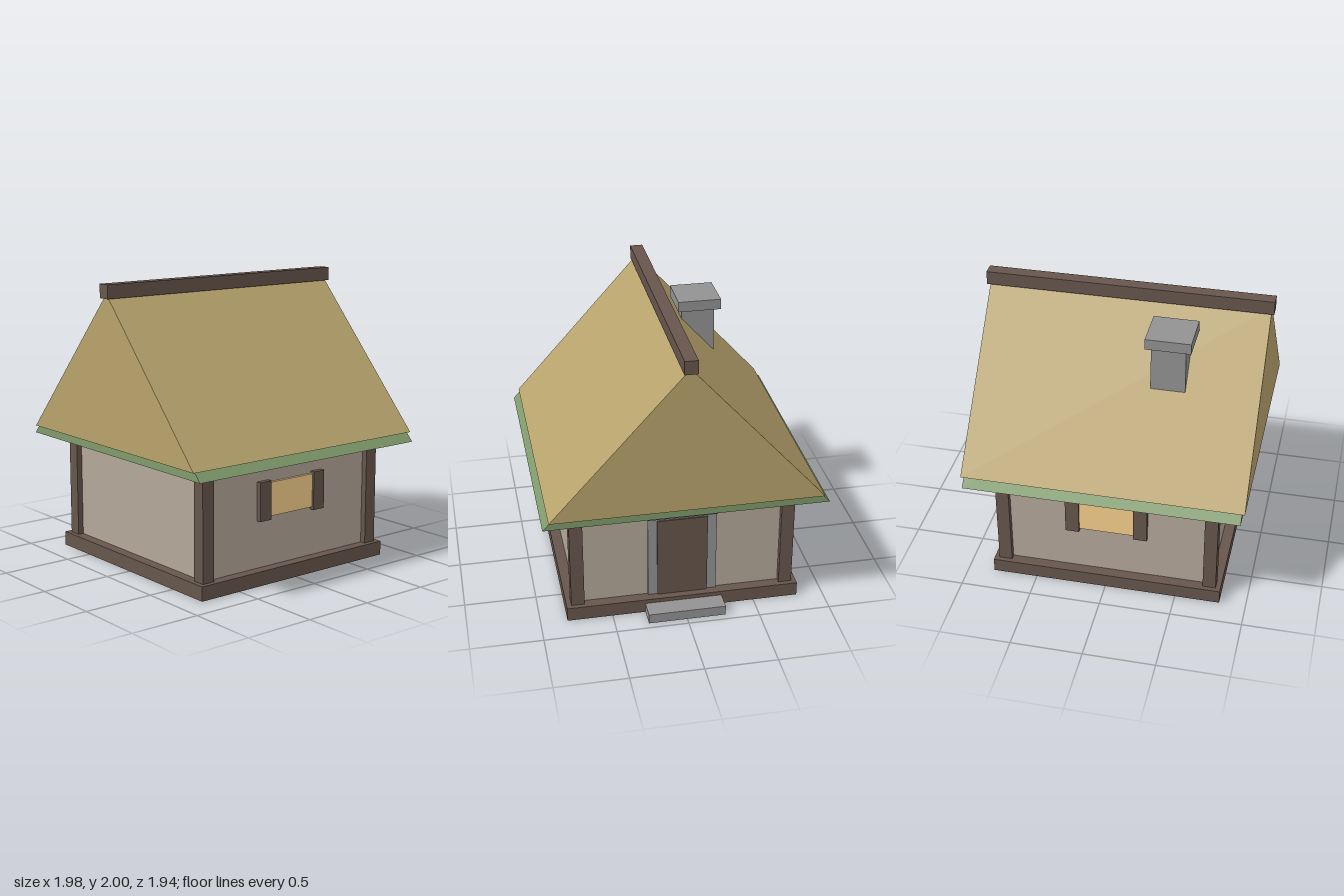
import * as THREE from 'three';

const material = (color) => new THREE.MeshStandardMaterial({ color });

export function createModel() {
  const house = new THREE.Group();
  house.name = 'cottage';

  const wood = material(0x66564c);
  const plaster = material(0xb3a799);
  const thatch = material(0xb8a36c);
  const eave = material(0x7f9a6c);
  const stone = material(0x929292);
  const doorWood = material(0x65544a);
  const glow = material(0xf6cf8c);

  const add = (name, geometry, mat, parent = house) => {
    const mesh = new THREE.Mesh(geometry, mat);
    mesh.name = name;
    parent.add(mesh);
    return mesh;
  };

  // Box given by its lower and upper corners
  const box = (name, [x0, y0, z0], [x1, y1, z1], mat, parent) => {
    const mesh = add(name, new THREE.BoxGeometry(x1 - x0, y1 - y0, z1 - z0), mat, parent);
    mesh.position.set((x0 + x1) / 2, (y0 + y1) / 2, (z0 + z1) / 2);
    return mesh;
  };

  // Triangular prism with its ridge along x
  const prism = (name, halfLength, halfDepth, bottom, top, mat) => {
    const gable = new THREE.Shape();
    gable.moveTo(-halfDepth, bottom);
    gable.lineTo(halfDepth, bottom);
    gable.lineTo(0, top);
    gable.closePath();
    const geometry = new THREE.ExtrudeGeometry(gable, { depth: 2 * halfLength, bevelEnabled: false });
    geometry.translate(0, 0, -halfLength);
    geometry.rotateY(Math.PI / 2);
    return add(name, geometry, mat);
  };

  // Base, walls and corner posts
  box('base', [-0.815, 0, -0.815], [0.815, 0.1, 0.815], wood);
  box('walls', [-0.74, 0.08, -0.74], [0.74, 0.86, 0.74], plaster);
  for (const x of [-0.735, 0.735]) {
    for (const z of [-0.735, 0.735]) {
      box('cornerPost', [x - 0.046, 0.09, z - 0.046], [x + 0.046, 0.85, z + 0.046], wood);
    }
  }

  // Roof with a lower eave layer and ridge beam
  prism('eaveLayer', 0.95, 0.97, 0.84, 1.9, eave);
  prism('roof', 0.97, 0.93, 0.9, 1.935, thatch);
  box('ridgeBeam', [-0.99, 1.905, -0.045], [0.99, 2, 0.045], wood);

  // Chimney on the back slope
  box('chimney', [-0.47, 1.3, -0.425], [-0.235, 1.8, -0.19], stone);
  box('chimneyCap', [-0.51, 1.79, -0.465], [-0.2, 1.865, -0.16], stone);

  // Shuttered windows, front and back
  for (const angle of [0, Math.PI]) {
    const win = new THREE.Group();
    win.name = 'window';
    box('pane', [-0.2, 0.45, 0.73], [0.2, 0.685, 0.76], glow, win);
    for (const x of [-0.24, 0.24]) {
      box('shutter', [x - 0.048, 0.43, 0.73], [x + 0.048, 0.7, 0.775], wood, win);
    }
    win.rotation.y = angle;
    house.add(win);
  }

  // Door with stone surround and step on the left end
  box('door', [0.73, 0.1, -0.175], [0.765, 0.7, 0.175], doorWood);
  box('doorSurround', [0.73, 0.1, -0.24], [0.755, 0.74, 0.24], stone);
  box('lintel', [0.73, 0.72, -0.24], [0.775, 0.78, 0.24], stone);
  box('doorStep', [0.75, 0, -0.27], [0.95, 0.07, 0.27], stone);

  return house;
}
